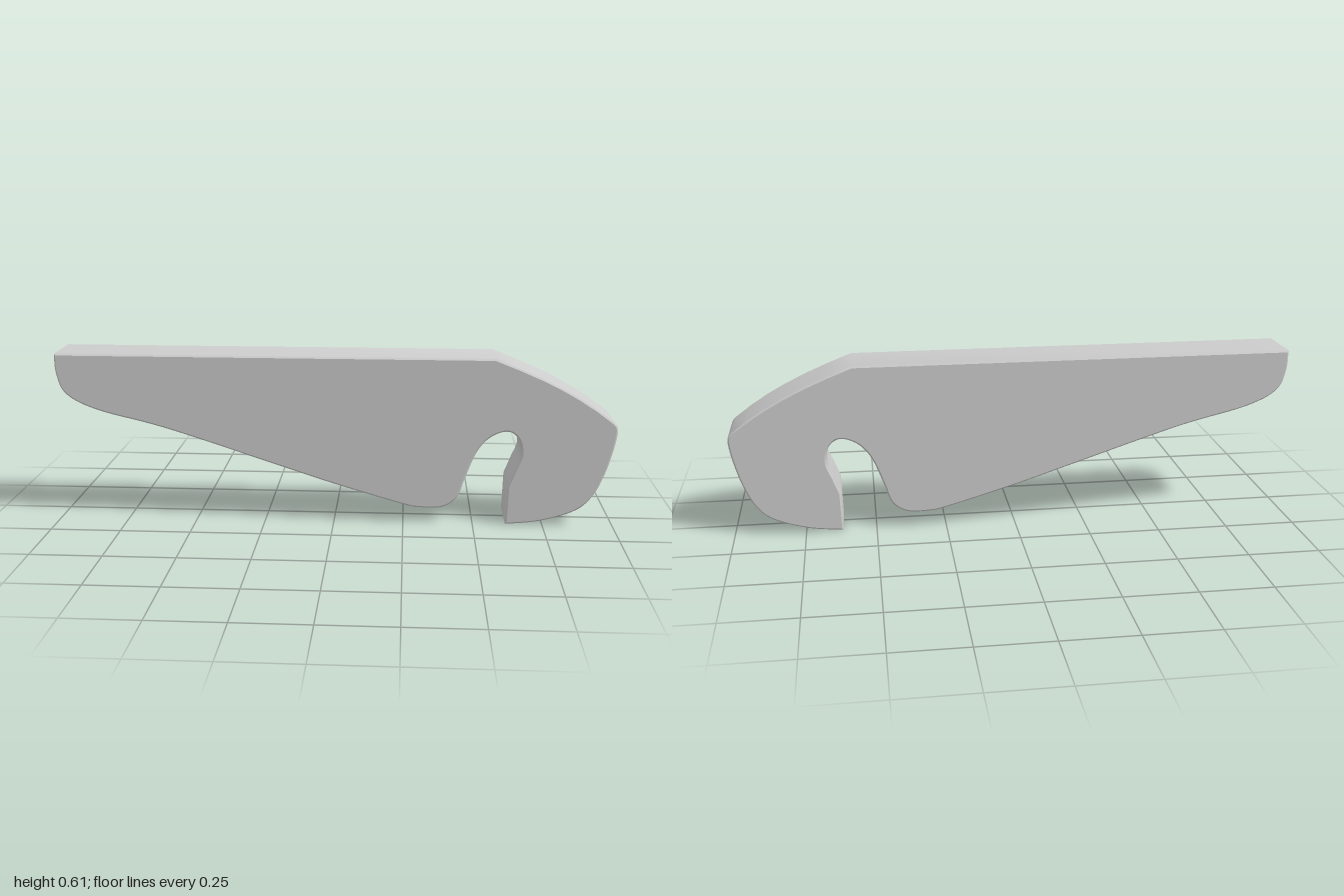
import * as THREE from 'three';
import { toCreasedNormals } from 'three/addons/utils/BufferGeometryUtils.js';

const points = (list) => list.map(([x, y]) => new THREE.Vector2(x, y));

export function createModel() {
  const group = new THREE.Group();
  group.name = 'hookedLever';

  const outline = new THREE.Shape();
  outline.moveTo(-1, 0.605);
  // rounded tail and sloping underside
  outline.splineThru(points([
    [-0.996, 0.53], [-0.963, 0.457], [-0.85, 0.4], [-0.6, 0.335], [-0.2, 0.205],
    [0, 0.14], [0.24, 0.07], [0.31, 0.057], [0.39, 0.06], [0.443, 0.097],
    // hook slot
    [0.47, 0.17], [0.508, 0.265], [0.555, 0.322], [0.615, 0.344], [0.655, 0.318],
    [0.667, 0.26], [0.645, 0.2], [0.622, 0.14],
  ]));
  outline.lineTo(0.618, 0);
  // hook tip and nose
  outline.splineThru(points([
    [0.74, 0.014], [0.86, 0.053], [0.92, 0.105], [0.96, 0.185], [0.988, 0.28],
    [1, 0.355], [0.987, 0.382],
  ]));
  // sloping brow, then the flat top
  outline.bezierCurveTo(0.87, 0.475, 0.75, 0.535, 0.565, 0.605);
  outline.closePath();

  // plate with a fine chamfer on both faces
  const chamfer = 0.006;
  const halfWidth = 0.097;
  const geometry = new THREE.ExtrudeGeometry(outline, {
    depth: 2 * (halfWidth - chamfer),
    bevelEnabled: true,
    bevelThickness: chamfer,
    bevelSize: chamfer,
    bevelOffset: -chamfer,
    bevelSegments: 1,
    curveSegments: 6,
  });
  geometry.translate(0, 0, -(halfWidth - chamfer));

  const lever = new THREE.Mesh(
    toCreasedNormals(geometry, 0.5),
    new THREE.MeshStandardMaterial({ color: 0xcccccc }),
  );
  lever.name = 'leverPlate';
  group.add(lever);
  return group;
}
